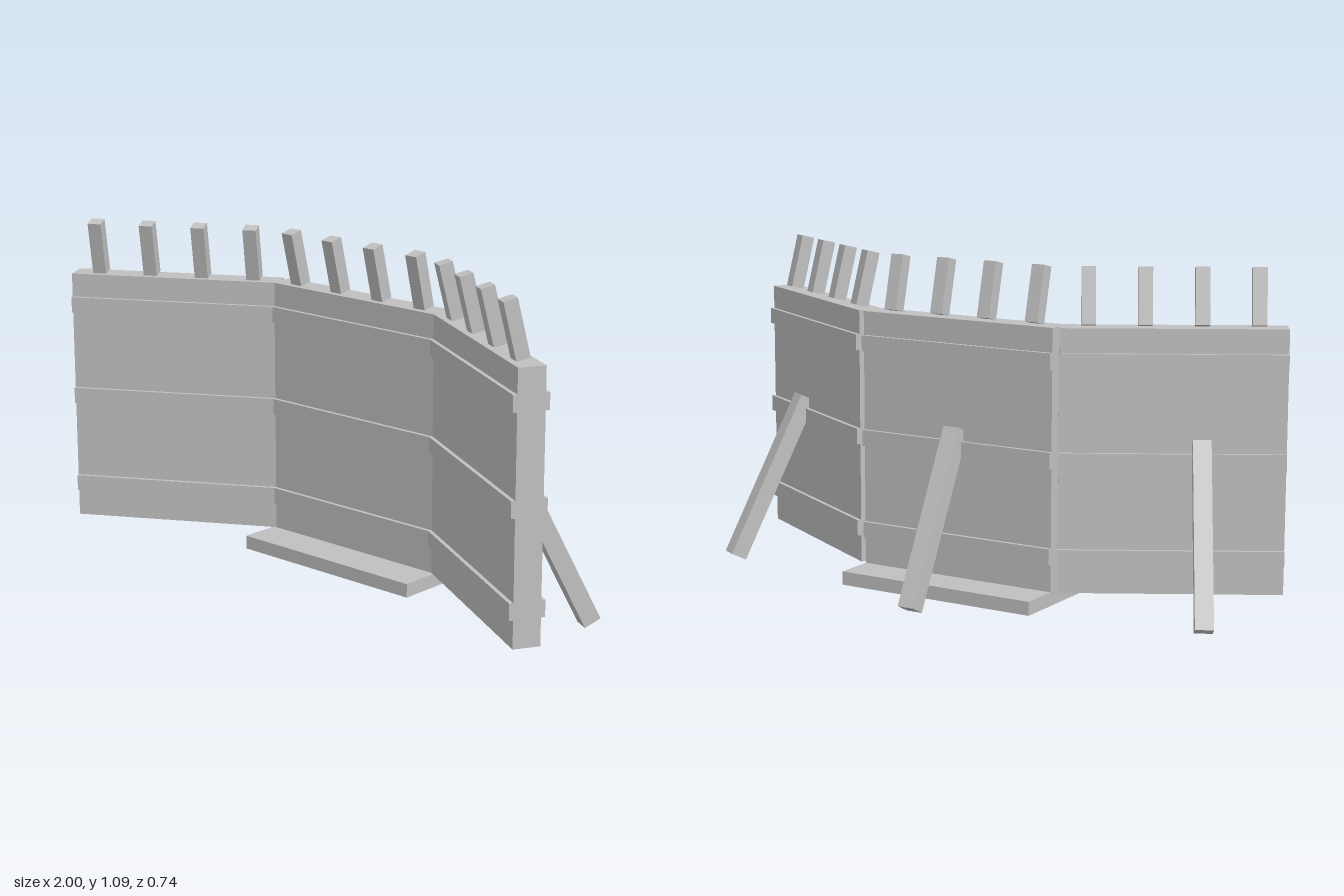
import * as THREE from 'three';

const WIDTH = 0.71;
const HINGE_Z = -0.033;
const ANGLE = Math.PI / 6;

export function createModel() {
  const grey = new THREE.MeshStandardMaterial({ color: 0xc0c0c0 });
  grey.name = 'plain grey';

  function box(parent, name, size, position, tilt = 0) {
    const mesh = new THREE.Mesh(new THREE.BoxGeometry(...size), grey);
    mesh.name = name;
    mesh.position.set(...position);
    mesh.rotation.x = tilt;
    parent.add(mesh);
    return mesh;
  }

  // One wall section: panel, three battens, four leaning spikes and a rear prop
  function section(name, propX) {
    const group = new THREE.Group();
    group.name = name;
    box(group, 'panel', [WIDTH, 0.845, 0.087], [0, 0.4825, 0]);
    for (const y of [0.176, 0.486, 0.8]) {
      box(group, 'batten', [WIDTH, 0.053, 0.113], [0, y, 0]);
    }
    for (let i = 0; i < 4; i++) {
      box(group, 'spike', [0.045, 0.182, 0.045], [(i - 1.5) * 0.1767, 0.997, 0.021], 0.239);
    }
    box(group, 'prop', [0.058, 0.598, 0.057], [propX, 0.282, -0.18], 0.466);
    return group;
  }

  const model = new THREE.Group();
  model.name = 'barricade';

  const centre = section('centreSection', 0);
  centre.position.z = HINGE_Z;
  model.add(centre);

  // Wings swing forward about the ends of the centre section
  for (const side of [-1, 1]) {
    const wing = section(side > 0 ? 'leftWing' : 'rightWing', side * 0.09);
    wing.position.set(
      side * (WIDTH / 2) * (1 + Math.cos(ANGLE)),
      0,
      HINGE_Z + (WIDTH / 2) * Math.sin(ANGLE)
    );
    wing.rotation.y = -side * ANGLE;
    model.add(wing);
  }

  // Flat foot board under the centre section
  box(model, 'footBoard', [WIDTH, 0.045, 0.355], [0, 0.0375, -0.034]);

  return model;
}
